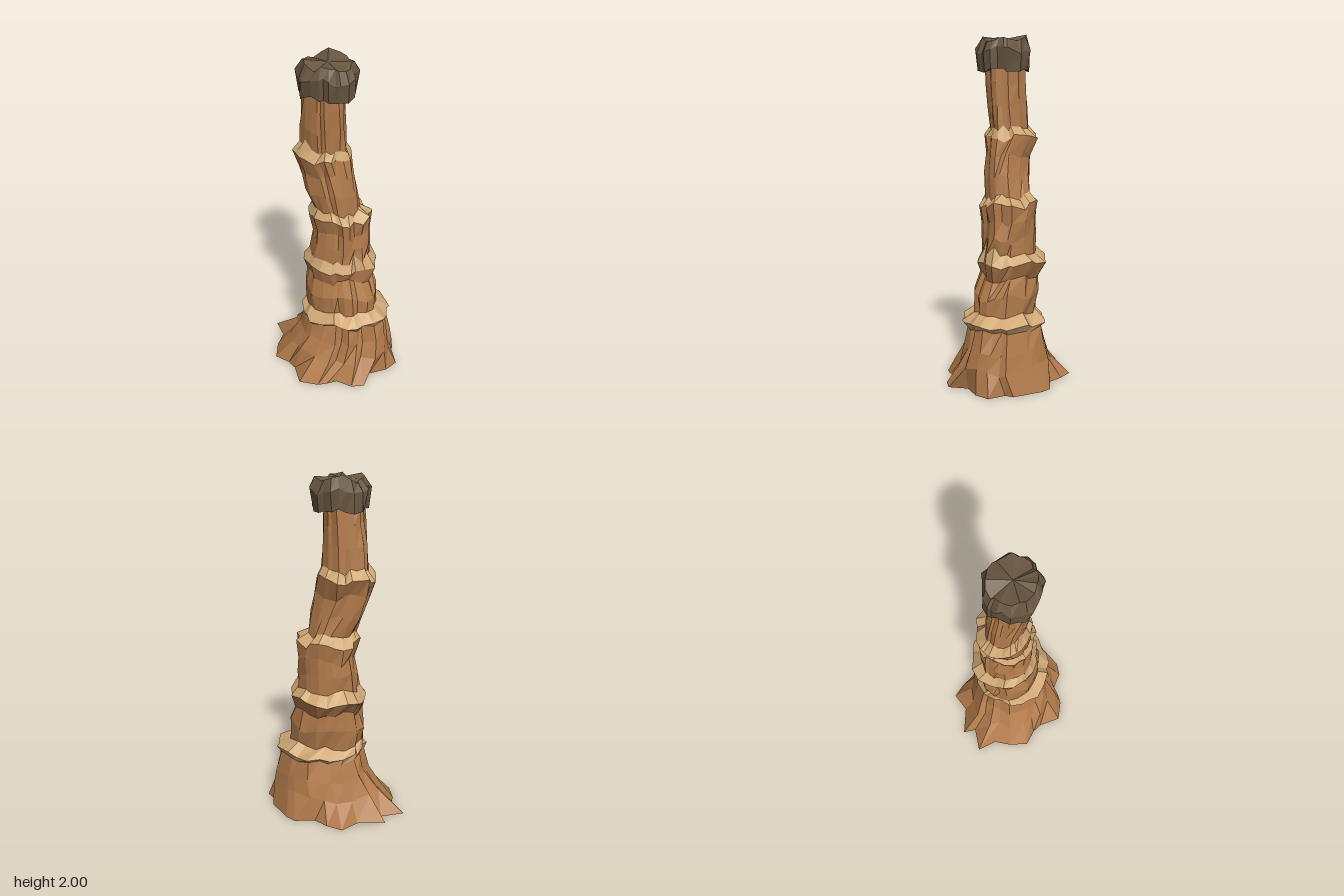
import * as THREE from 'three';

const N = 25; // columns of bark around the trunk

// Root outline on the ground: x, z pairs running from the left spike round the back
const ROOT = [
  -0.43, -0.02, -0.32, -0.11, -0.37, -0.17, -0.22, -0.24, -0.17, -0.35,
  -0.07, -0.34, 0.02, -0.31, 0.13, -0.36, 0.19, -0.34, 0.34, -0.23,
  0.34, -0.18, 0.43, -0.12, 0.41, -0.03, 0.34, 0.06, 0.37, 0.17,
  0.31, 0.22, 0.21, 0.23, 0.17, 0.28, 0.13, 0.32, 0.02, 0.36,
  -0.08, 0.27, -0.14, 0.25, -0.24, 0.25, -0.30, 0.15, -0.33, 0.05,
];

// Each part is a stack of rings: [y, xMin, xMax, zMin, zMax]; parts share their joining ring.
// The last entry of a ledge lists columns where it climbs up the bark.
const PARTS = [
  ['rootFlare', 'bark', [
    [0.13, -0.25, 0.41, -0.31, 0.26],
    [0.23, -0.2, 0.39, -0.3, 0.21],
    [0.34, -0.165, 0.355, -0.28, 0.18]]],
  ['firstLedge', 'ledge', [
    [0.375, -0.19, 0.38, -0.3, 0.22],
    [0.42, -0.165, 0.31, -0.23, 0.155]], []],
  ['firstStorey', 'bark', [
    [0.53, -0.18, 0.3, -0.24, 0.155],
    [0.63, -0.155, 0.255, -0.23, 0.125],
    [0.71, -0.2, 0.28, -0.28, 0.15]]],
  ['secondLedge', 'ledge', [
    [0.765, -0.15, 0.24, -0.22, 0.115]], [12, 14]],
  ['secondStorey', 'bark', [
    [0.86, -0.14, 0.24, -0.22, 0.105],
    [0.95, -0.125, 0.23, -0.22, 0.1],
    [1.045, -0.15, 0.24, -0.23, 0.12]]],
  ['thirdLedge', 'ledge', [
    [1.09, -0.115, 0.18, -0.17, 0.095]], []],
  ['thirdStorey', 'bark', [
    [1.2, -0.16, 0.17, -0.15, 0.11],
    [1.32, -0.2, 0.14, -0.14, 0.11],
    [1.42, -0.235, 0.125, -0.18, 0.14]]],
  ['fourthLedge', 'ledge', [
    [1.47, -0.185, 0.1, -0.13, 0.105]], [11, 20]],
  ['fourthStorey', 'bark', [
    [1.6, -0.175, 0.1, -0.12, 0.115],
    [1.72, -0.155, 0.095, -0.115, 0.125],
    [1.82, -0.145, 0.095, -0.115, 0.125]]],
  ['cap', 'crown', [
    [1.8, -0.17, 0.16, -0.15, 0.155],
    [1.91, -0.18, 0.17, -0.16, 0.17],
    [1.975, -0.14, 0.14, -0.135, 0.14]]],
];

// Repeatable noise in the range -1..1
function noise(a, b) {
  const s = Math.sin(a * 127.1 + b * 311.7) * 43758.5453;
  return 2 * (s - Math.floor(s)) - 1;
}

const rootRing = () => Array.from({ length: N }, (_, i) =>
  new THREE.Vector3(ROOT[2 * i], 0, ROOT[2 * i + 1]));

// Fluted oval ring whose grooves line up with the roots, with a wavy height
function makeRing([y, x0, x1, z0, z1], id, wave) {
  return Array.from({ length: N }, (_, i) => {
    const a = Math.atan2(ROOT[2 * i + 1] + 0.03, ROOT[2 * i] - 0.04);
    // the low trunk is flattened towards its front left
    const flat = 0.14 * Math.max(0, 1 - y) * Math.max(0, Math.cos(a - Math.PI / 4)) ** 4;
    const flute = 0.94 - flat + 0.065 * noise(i, 3) + 0.05 * noise(i, id);
    const lift = wave * (0.55 * Math.sin(4 * a + id * 0.7) + 0.55 * noise(i, id + 90));
    return new THREE.Vector3(
      (x0 + x1) / 2 + Math.cos(a) * flute * (x1 - x0) / 2,
      Math.min(2, y + lift),
      (z0 + z1) / 2 + Math.sin(a) * flute * (z1 - z0) / 2);
  });
}

// Faceted skin through a list of rings, optionally closed at either end
function skin(rings, closeBottom, closeTop) {
  const pos = [];
  const tri = (...pts) => pts.forEach((p) => pos.push(p.x, p.y, p.z));
  const middle = (ring) => ring.reduce((s, p) => s.add(p), new THREE.Vector3()).divideScalar(N);
  for (let k = 0; k + 1 < rings.length; k++) {
    for (let i = 0; i < N; i++) {
      const j = (i + 1) % N;
      const lo = rings[k], hi = rings[k + 1];
      tri(lo[i], hi[i], lo[j]);
      tri(lo[j], hi[i], hi[j]);
    }
  }
  const first = rings[0], last = rings[rings.length - 1];
  const c0 = middle(first), c1 = middle(last);
  for (let i = 0; i < N; i++) {
    const j = (i + 1) % N;
    if (closeBottom) tri(c0, first[i], first[j]);
    if (closeTop) tri(c1, last[j], last[i]);
  }
  const geo = new THREE.BufferGeometry();
  geo.setAttribute('position', new THREE.Float32BufferAttribute(pos, 3));
  geo.computeVertexNormals();
  return geo;
}

export function createModel() {
  const materials = {
    bark: new THREE.MeshStandardMaterial({ color: 0xb27b4b, flatShading: true }),
    ledge: new THREE.MeshStandardMaterial({ color: 0xcfa774, flatShading: true }),
    crown: new THREE.MeshStandardMaterial({ color: 0x685641, flatShading: true }),
  };
  for (const name in materials) materials[name].name = name;

  const model = new THREE.Group();
  model.name = 'trunk';
  let joint = rootRing();
  let below = 0; // nominal height of the ring below
  let id = 1;
  PARTS.forEach(([name, colour, specs, climbs], p) => {
    const rings = [joint];
    specs.forEach((spec, k) => {
      const ring = makeRing(spec, id++, 0.026);
      const prev = rings[k];
      ring.forEach((v, i) => {
        // the lowest ring still follows the root spikes
        if (p === 0 && k === 0) v.lerp(new THREE.Vector3(prev[i].x, v.y, prev[i].z), 0.12);
        // ledges keep their thickness where the edge waves
        if (colour === 'ledge') {
          v.y = spec[0] + 0.8 * (prev[i].y - below) + 0.012 * noise(i, id) + (climbs.includes(i) ? 0.05 : 0);
        }
      });
      rings.push(ring);
      below = spec[0];
    });
    joint = rings[rings.length - 1];
    const mesh = new THREE.Mesh(skin(rings, p === 0, p === PARTS.length - 1), materials[colour]);
    mesh.name = name;
    model.add(mesh);
  });
  return model;
}
